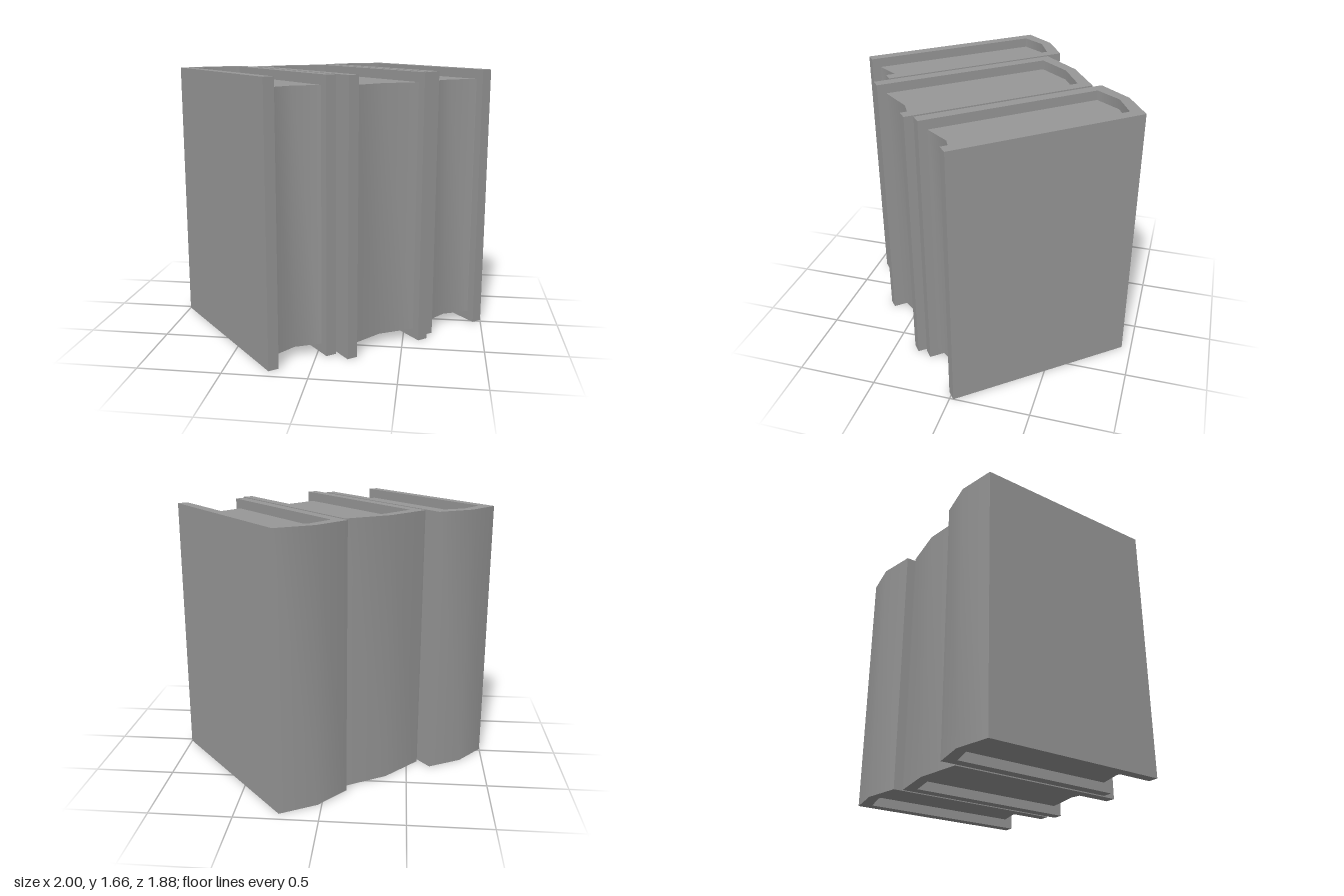
import * as THREE from 'three';
import { toCreasedNormals } from 'three/addons/utils/BufferGeometryUtils.js';

const HEIGHT = 1.665, DEPTH = 1.193, BOARD = 0.066, BULGE = 0.044;
const PAGE_DEPTH = 1.137, PAGE_INSET = 0.06;
const material = new THREE.MeshStandardMaterial({ color: 0x989898 });

// Extrude a plan outline of [across, depth] points upward from y0 to y1
function slab(name, outline, y0, y1) {
  const shape = new THREE.Shape(outline.map(([x, z]) => new THREE.Vector2(x, -z)));
  const geometry = new THREE.ExtrudeGeometry(shape, { depth: y1 - y0, bevelEnabled: false });
  geometry.rotateX(-Math.PI / 2).translate(0, y0, 0);
  const mesh = new THREE.Mesh(toCreasedNormals(geometry, 0.6), material);
  mesh.name = name;
  return mesh;
}

// One book: local x runs across its thickness, local z from spine to fore-edge
function makeBook(width) {
  const book = new THREE.Group();
  const mid = width / 2, inner = width - BOARD;

  // Two boards joined by a bowed spine
  book.add(slab('cover', [
    [0, 0], [0, DEPTH], [BOARD, DEPTH], [BOARD, BOARD],
    [mid, BOARD - BULGE], [inner, BOARD],
    [inner, DEPTH], [width, DEPTH], [width, 0], [mid, -BULGE],
  ], 0, HEIGHT));

  // Page block, rounded at the spine and hollowed at the fore-edge
  book.add(slab('pages', [
    [BOARD, BOARD], [BOARD, PAGE_DEPTH], [mid, PAGE_DEPTH - BULGE],
    [inner, PAGE_DEPTH], [inner, BOARD], [mid, BOARD - BULGE],
  ], PAGE_INSET, HEIGHT - PAGE_INSET));
  return book;
}

export function createModel() {
  const model = new THREE.Group();
  model.name = 'books';

  // Thickness and left spine corner of each book in the row
  const row = [
    ['rightBook', 0.455, -1, 0.02],
    ['middleBook', 0.593, -0.57, -0.203],
    ['leftBook', 0.483, -0.133, -0.633],
  ];
  for (const [name, width, x, z] of row) {
    const book = makeBook(width);
    book.name = name;
    book.position.set(x, 0, z);
    book.rotation.y = 0.693;
    model.add(book);
  }
  return model;
}
